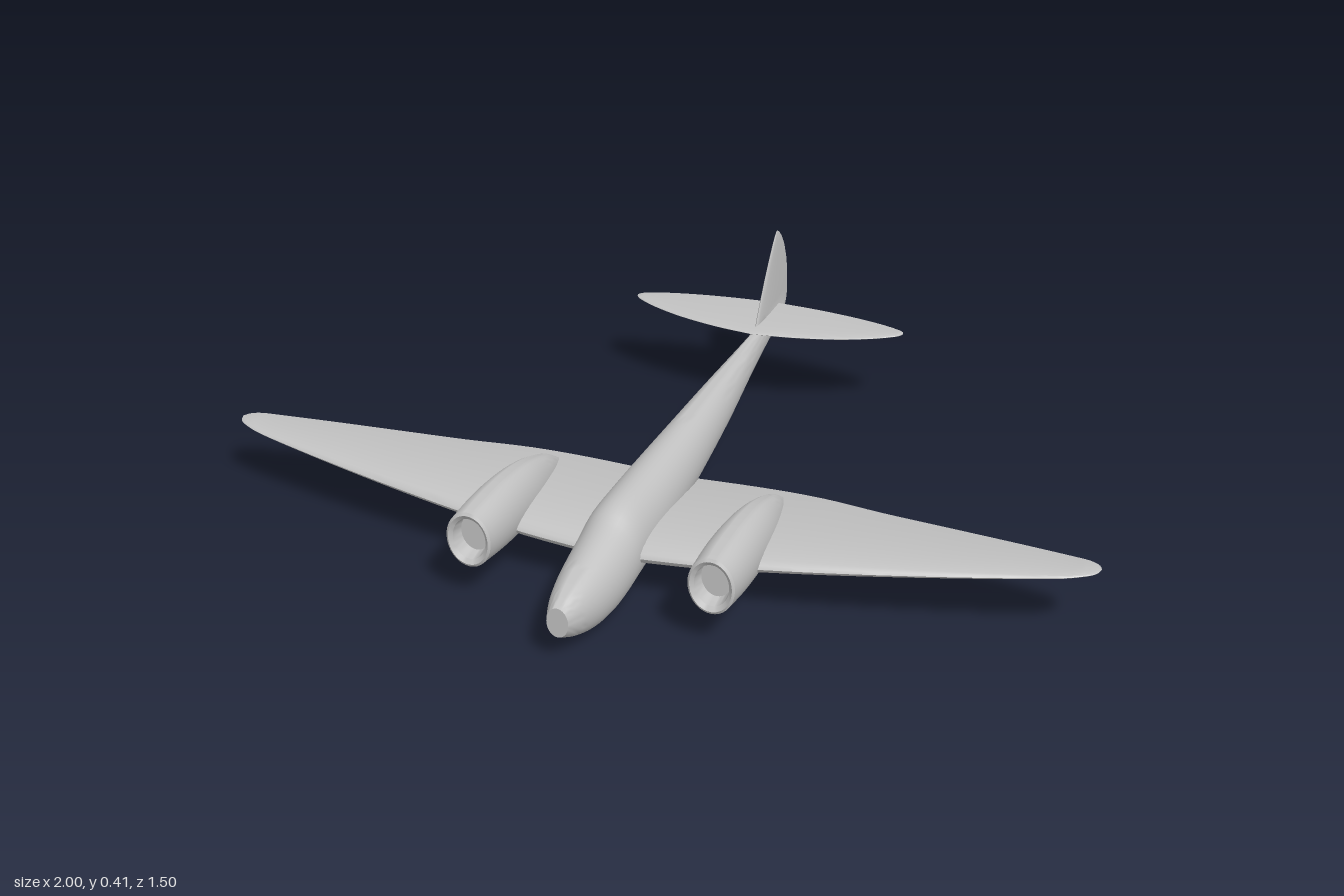
import * as THREE from 'three';
import { toCreasedNormals } from 'three/addons/utils/BufferGeometryUtils.js';

// Smoothly resample a table of stations
function smooth(rows, steps) {
  const size = rows[0].length;
  const curve = new THREE.CubicInterpolant(rows.map((_, i) => i), rows.flat(), size, new Array(size));
  const out = [];
  const n = (rows.length - 1) * steps;
  for (let i = 0; i <= n; i++) out.push(Array.from(curve.evaluate(i / steps)));
  return out;
}

// Closed skin through a list of rings, capped at both ends
function loft(rings, crease = 0.7) {
  const m = rings[0].length, pos = [], idx = [];
  rings.forEach(r => r.forEach(p => pos.push(...p)));
  for (let i = 0; i < rings.length - 1; i++) {
    for (let j = 0; j < m; j++) {
      const a = i * m + j, b = i * m + (j + 1) % m;
      idx.push(a, b, a + m, b, b + m, a + m);
    }
  }
  const last = (rings.length - 1) * m;
  for (let j = 1; j < m - 1; j++) {
    idx.push(0, j + 1, j, last, last + j, last + j + 1);
  }
  // Turn all faces outward
  let volume = 0;
  const v = i => new THREE.Vector3().fromArray(pos, i * 3);
  for (let i = 0; i < idx.length; i += 3) volume += v(idx[i]).dot(v(idx[i + 1]).cross(v(idx[i + 2])));
  if (volume < 0) idx.reverse();
  const g = new THREE.BufferGeometry();
  g.setAttribute('position', new THREE.Float32BufferAttribute(pos, 3));
  g.setIndex(idx);
  return toCreasedNormals(g, crease);
}

// Oval body section: [z, top, bottom, half width]
function oval([z, top, bottom, w], scale = 1, n = 36) {
  const ring = [], cy = (top + bottom) / 2, h = (top - bottom) / 2;
  for (let i = 0; i < n; i++) {
    const a = i / n * Math.PI * 2;
    ring.push([Math.cos(a) * w * scale, cy + Math.sin(a) * h * scale, z]);
  }
  return ring;
}

// Aerofoil section as [chord position, thickness offset, fraction from nose]
function foil(lead, trail, half, n = 28) {
  const ring = [];
  for (let i = 0; i < n; i++) {
    const a = i / n * Math.PI * 2, s = (1 - Math.cos(a)) / 2;
    const t = 2.6 * Math.sqrt(s) * (1 - s) * half * (a < Math.PI ? 1 : -1);
    ring.push([lead + (trail - lead) * s, t, s]);
  }
  return ring;
}

// Mirrored flying surface: [x, leading z, trailing z, y, half thickness, tilt]
function surface(rows, steps) {
  const half = smooth(rows, steps);
  const all = [...half.slice(1).reverse().map(([x, ...r]) => [-x, ...r]), ...half];
  return loft(all.map(([x, lead, trail, y, t, tilt]) =>
    foil(lead, trail, t).map(([z, o, s]) => [x, y + o + tilt * (0.5 - s), z])));
}

export function createModel() {
  const model = new THREE.Group();
  const grey = new THREE.MeshStandardMaterial({ color: 0xc2c2c2 });
  grey.name = 'light grey';
  const add = (name, geometry, x = 0) => {
    const mesh = new THREE.Mesh(geometry, grey);
    mesh.name = name;
    mesh.position.x = x;
    model.add(mesh);
    return mesh;
  };

  // Fuselage from blunt nose to slim tail
  add('fuselage', loft(smooth([
    [0.75, 0.128, 0.06, 0.024], [0.7, 0.145, 0.033, 0.042], [0.64, 0.158, 0.012, 0.056],
    [0.57, 0.17, 0.002, 0.065], [0.5, 0.184, 0.004, 0.069], [0.43, 0.205, 0.009, 0.07],
    [0.3, 0.205, 0.02, 0.069], [0.15, 0.203, 0.034, 0.064], [0, 0.202, 0.05, 0.056],
    [-0.2, 0.202, 0.077, 0.043], [-0.4, 0.202, 0.109, 0.026], [-0.55, 0.203, 0.131, 0.014],
    [-0.64, 0.205, 0.143, 0.008],
  ], 4).map(r => oval(r))));

  // Tapered wing with dihedral and rounded tips
  add('wing', surface([
    [0, 0.475, 0.06, 0.088, 0.036, 0.02], [0.2, 0.465, 0.064, 0.098, 0.032, 0.02],
    [0.35, 0.447, 0.085, 0.109, 0.027, 0.018], [0.5, 0.422, 0.125, 0.12, 0.022, 0.014],
    [0.65, 0.393, 0.16, 0.131, 0.016, 0.01], [0.8, 0.36, 0.195, 0.142, 0.011, 0.006],
    [0.92, 0.329, 0.223, 0.15, 0.006, 0.003], [0.97, 0.308, 0.238, 0.154, 0.004, 0.001],
    [0.992, 0.291, 0.252, 0.155, 0.002, 0], [1, 0.273, 0.267, 0.156, 0.001, 0],
  ], 4));

  // Engine nacelles with hollow intakes and knife-edged tails
  const cowl = [
    [0.59, 0.21, 0.08, 0.051], [0.5, 0.212, 0.066, 0.055], [0.4, 0.207, 0.054, 0.053],
    [0.3, 0.19, 0.045, 0.045], [0.2, 0.155, 0.042, 0.028], [0.13, 0.113, 0.047, 0.011],
    [0.1, 0.09, 0.055, 0.003],
  ];
  const [, ...mouth] = cowl[0];
  for (const side of [1, -1]) {
    add(side > 0 ? 'leftNacelle' : 'rightNacelle', loft([
      oval([0.555, ...mouth], 0.66), oval([0.587, ...mouth], 0.74), oval([0.594, ...mouth], 0.9),
      ...smooth(cowl, 5).map(r => oval(r)),
    ], 0.6), side * 0.27);
  }

  // Elliptical tailplane
  add('tailplane', surface([
    [0, -0.46, -0.664, 0.209, 0.006, 0], [0.1, -0.474, -0.658, 0.209, 0.006, 0],
    [0.2, -0.5, -0.645, 0.209, 0.005, 0], [0.28, -0.533, -0.628, 0.209, 0.004, 0],
    [0.33, -0.563, -0.611, 0.209, 0.003, 0], [0.346, -0.578, -0.601, 0.209, 0.002, 0],
    [0.35, -0.588, -0.592, 0.209, 0.001, 0],
  ], 4));

  // Fin and rudder: [y, leading z, trailing z, half thickness]
  add('fin', loft([
    [0.157, -0.64, -0.69, 0.004], [0.162, -0.635, -0.712, 0.005], [0.175, -0.63, -0.732, 0.006],
    [0.195, -0.62, -0.744, 0.007], [0.205, -0.49, -0.746, 0.007], [0.23, -0.503, -0.748, 0.007],
    [0.27, -0.53, -0.745, 0.006], [0.31, -0.558, -0.734, 0.005], [0.35, -0.59, -0.716, 0.004],
    [0.38, -0.616, -0.694, 0.003], [0.4, -0.636, -0.672, 0.002], [0.409, -0.65, -0.657, 0.001],
  ].map(([y, lead, trail, t]) => foil(lead, trail, t).map(([z, o]) => [o, y, z]))));

  return model;
}
